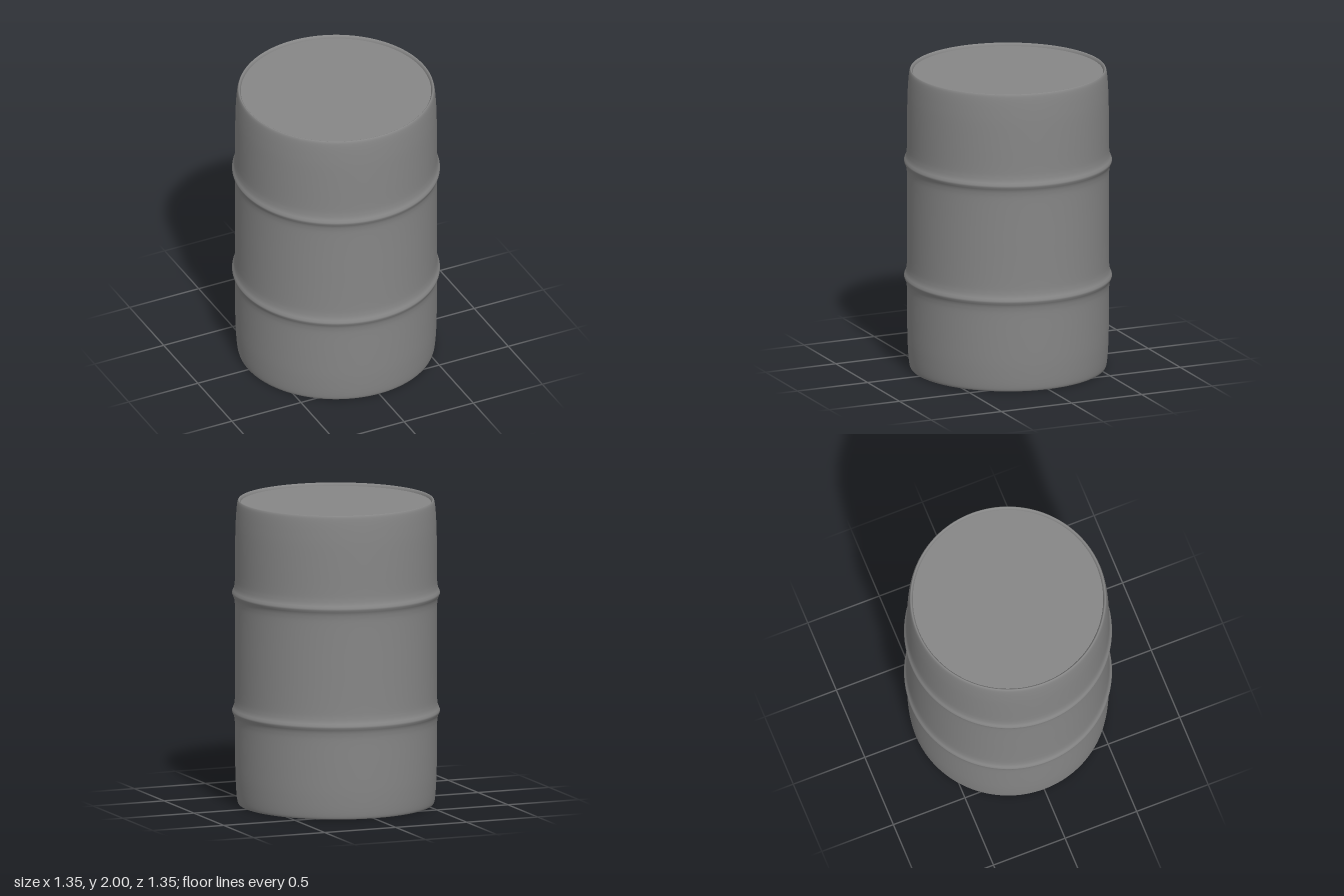
import * as THREE from 'three';

const SEGMENTS = 128;
const LID_RADIUS = 0.618;
const RECESS = 0.02;

// Upper half of the shell's outline as [radius, height above mid-height]
const HALF_PROFILE = [
  [0.655, 0], [0.655, 0.15], [0.656, 0.29], [0.659, 0.335], [0.664, 0.358],
  [0.671, 0.374], [0.675, 0.388], [0.671, 0.402], [0.664, 0.418], [0.659, 0.442],
  [0.656, 0.49], [0.655, 0.65], [0.653, 0.8], [0.649, 0.89], [0.645, 0.945],
  [0.641, 0.978], [0.637, 0.993], [0.632, 1], [0.626, 0.997], [0.621, 0.989],
  [LID_RADIUS, 1 - RECESS],
];

export function createModel() {
  const group = new THREE.Group();
  group.name = 'barrel';
  const material = new THREE.MeshStandardMaterial({ color: 0x868686 });

  // Shell with two rolled ribs and rounded rims, mirrored about mid-height
  const upper = HALF_PROFILE.map(([r, y]) => new THREE.Vector2(r, 1 + y));
  const lower = upper.slice(1).reverse().map((p) => new THREE.Vector2(p.x, 2 - p.y));
  const outline = new THREE.SplineCurve([...lower, ...upper]).getPoints(160);
  const shell = new THREE.Mesh(new THREE.LatheGeometry(outline, SEGMENTS), material);
  shell.name = 'shell';
  group.add(shell);

  // Flat ends set slightly inside the rims
  for (const [name, y, tilt] of [
    ['lid', 2 - RECESS, -Math.PI / 2],
    ['base', RECESS, Math.PI / 2],
  ]) {
    const end = new THREE.Mesh(new THREE.CircleGeometry(LID_RADIUS, SEGMENTS), material);
    end.name = name;
    end.position.y = y;
    end.rotation.x = tilt;
    group.add(end);
  }
  return group;
}
